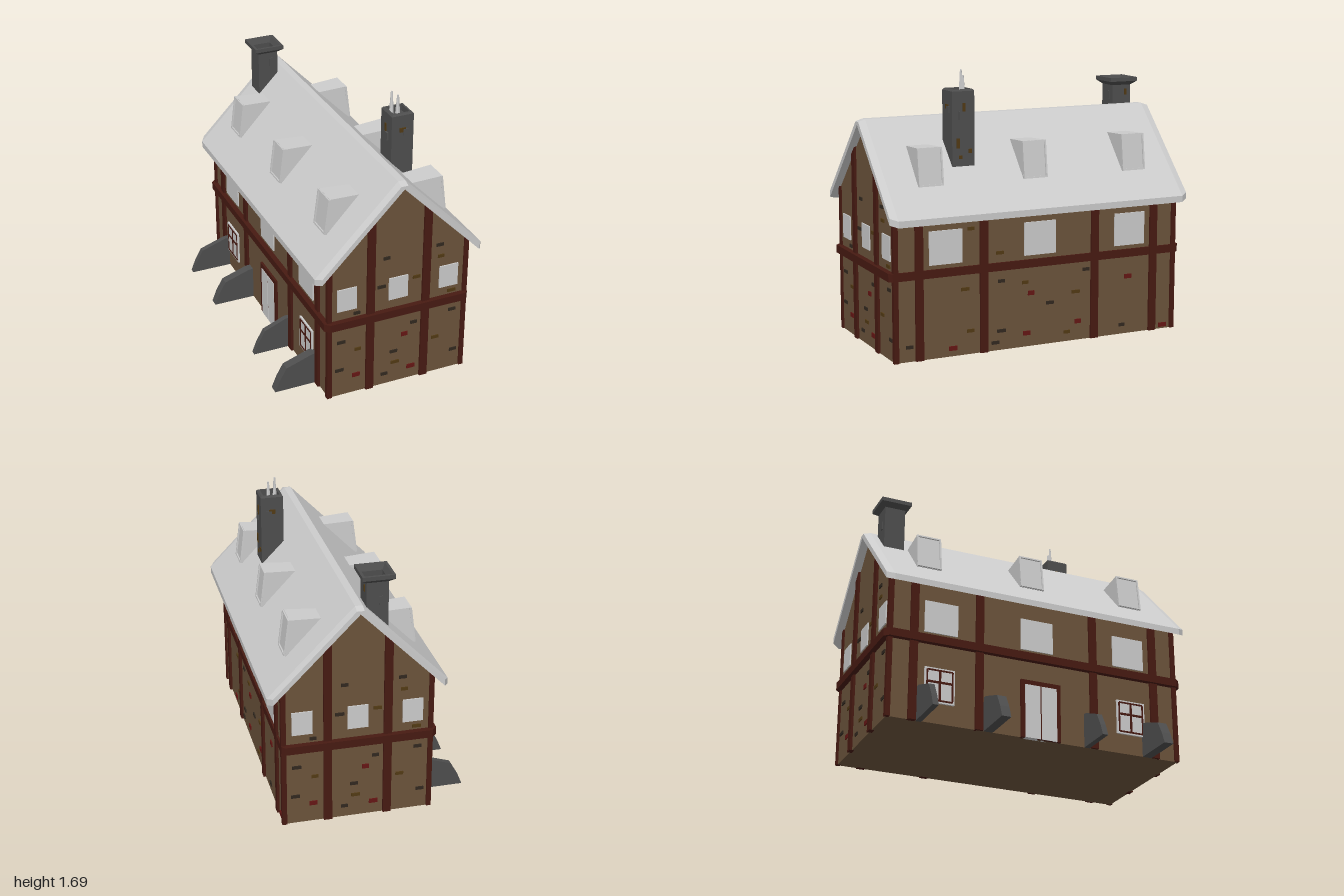
import * as THREE from 'three';
import { ConvexGeometry } from 'three/addons/geometries/ConvexGeometry.js';

const mat = (color) => new THREE.MeshStandardMaterial({ color, flatShading: true });
const GREY = mat(0xcccccc), WALL = mat(0x6b533b), BEAM = mat(0x471a12), STONE = mat(0x4e4e4e);
const BRICKS = { dark: mat(0x31281f), olive: mat(0x523a14), red: mat(0x651614) };

const W = 0.45, D = 0.95; // half width and half depth of the walls
const underRoof = (x) => 1.365 - 0.986 * Math.abs(x);

function add(parent, name, geometry, material, x = 0, y = 0, z = 0) {
  const mesh = new THREE.Mesh(geometry, material);
  mesh.name = name;
  mesh.position.set(x, y, z);
  parent.add(mesh);
  return mesh;
}
const box = (parent, name, material, w, h, d, x, y, z) =>
  add(parent, name, new THREE.BoxGeometry(w, h, d), material, x, y, z);

// Prism with an x-y outline, centred on z
function prism(points, depth) {
  const shape = new THREE.Shape(points.map(([x, y]) => new THREE.Vector2(x, y)));
  return new THREE.ExtrudeGeometry(shape, { depth, bevelEnabled: false }).translate(0, 0, -depth / 2);
}

// Square tube or cap from a half-width / height profile
function squareLathe(profile) {
  const pts = profile.map(([r, y]) => new THREE.Vector2(r * Math.SQRT2, y));
  return new THREE.LatheGeometry(pts, 4).rotateY(Math.PI / 4).toNonIndexed();
}

// Gable roof with bevelled ends, lofted through four sections
function roofGeometry() {
  const section = (z, inset, drop) => {
    const e = 0.5425 - inset;
    return [[-e, 0.83 + drop], [-e, 0.87 + drop], [-0.0225, 1.4 - drop], [0.0225, 1.4 - drop],
      [e, 0.87 + drop], [e, 0.83 + drop], [0, 1.365]].map(([x, y]) => [x, y, z]);
  };
  const rings = [section(-1, 0.03, 0.015), section(-0.955, 0, 0), section(0.955, 0, 0), section(1, 0.03, 0.015)];
  const n = 7, index = [];
  for (let k = 0; k < 3; k++) {
    for (let i = 0; i < n; i++) {
      const a = k * n + i, b = k * n + (i + 1) % n;
      index.push(a, b + n, b, a, a + n, b + n);
    }
  }
  for (let i = 0; i < 5; i++) {
    index.push(6, i, i + 1, 3 * n + 6, 3 * n + i + 1, 3 * n + i);
  }
  const g = new THREE.BufferGeometry();
  g.setAttribute('position', new THREE.Float32BufferAttribute(rings.flat(2), 3));
  g.setIndex(index);
  const flat = g.toNonIndexed();
  flat.computeVertexNormals();
  return flat;
}

// Dormer wedge with a raised rim around its leaning face
function addDormer(parent, z) {
  const dormer = new THREE.Group();
  dormer.name = 'dormer';
  dormer.position.z = z;
  parent.add(dormer);
  const pts = [];
  for (const s of [-1, 1]) {
    pts.push(new THREE.Vector3(0.391, 1.03, s * 0.08), new THREE.Vector3(0.362, 1.257, s * 0.077),
      new THREE.Vector3(0.14, 1.245, s * 0.067), new THREE.Vector3(0.3, 1.02, s * 0.067));
  }
  add(dormer, 'dormerBody', new ConvexGeometry(pts), GREY);
  const rim = new THREE.Group();
  rim.name = 'dormerRim';
  rim.position.set(0.3785, 1.144, 0);
  rim.rotation.z = 0.127;
  dormer.add(rim);
  for (const s of [-1, 1]) {
    box(rim, 'rimSide', GREY, 0.014, 0.226, 0.01, 0, 0, s * 0.074);
    box(rim, 'rimRail', GREY, 0.014, 0.01, 0.15, 0, s * 0.108, 0);
  }
}

const gableBricks = {
  dark: [[-0.08, 0.9], [0.27, 0.91], [-0.11, 0.71], [-0.27, 0.57], [0.37, 0.43], [-0.37, 0.385],
    [0.11, 0.405], [-0.02, 0.225], [-0.38, 0.185], [-0.08, 0.075], [0.39, 0.13]],
  olive: [[0.28, 0.83], [0.12, 0.725], [0.36, 0.57], [-0.26, 0.31], [0.26, 0.255], [-0.01, 0.145]],
  red: [[0.05, 0.335], [-0.27, 0.125], [0.1, 0.085]],
};
const sideBricks = {
  dark: [[0.26, 0.43], [-0.32, 0.445], [-0.07, 0.26], [0.86, 0.09], [0.3, 0.05], [0.26, 0.12], [-0.58, 0.06]],
  olive: [[0.46, 0.77], [0.27, 0.605], [0.5, 0.405], [0.1, 0.405], [0.465, 0.145], [-0.25, 0.31], [-0.19, 0.06]],
  red: [[0.06, 0.335], [-0.62, 0.37], [0.58, 0.05], [-0.265, 0.12], [0.09, 0.085], [-0.88, 0.025]],
};
function eachBrick(table, place) {
  for (const [kind, list] of Object.entries(table)) {
    list.forEach(([u, y], i) => place(BRICKS[kind], u, y, 0.042 + 0.006 * (i % 3), kind === 'red' ? 0.027 : 0.02));
  }
}

// One gable with the side wall to its left; two of these, turned, go round the house
function buildHalf(parent) {
  for (const x of [-0.1825, 0.1825]) {
    const [a, b] = [x - 0.025, x + 0.025];
    add(parent, 'gablePost', prism([[a, 0], [b, 0], [b, underRoof(b)], [a, underRoof(a)]], 0.03), BEAM, 0, 0, D);
  }
  for (const x of [-0.335, 0, 0.335]) box(parent, 'gableWindow', GREY, 0.125, 0.15, 0.016, x, 0.68, D);
  for (const s of [-1, 1]) box(parent, 'cornerPost', BEAM, 0.03, 0.92, 0.03, s * 0.4475, 0.46, 0.945);
  for (const z of [-0.797, -0.378, 0.378, 0.797]) box(parent, 'sidePost', BEAM, 0.03, 0.91, 0.05, W, 0.455, z);
  for (const z of [-0.625, 0, 0.625]) box(parent, 'sideWindow', GREY, 0.016, 0.205, 0.213, W, 0.673, z);
  for (const z of [-0.687, 0, 0.687]) addDormer(parent, z);
  eachBrick(gableBricks, (m, x, y, w, h) => box(parent, 'brick', m, w, h, 0.014, x, y, D));
}

export function createModel() {
  const model = new THREE.Group();
  model.name = 'house';
  const house = new THREE.Group();
  house.name = 'houseParts';
  house.position.x = 0.0875;
  model.add(house);

  // Walls and roof
  add(house, 'walls', prism([[-W, 0], [W, 0], [W, 0.915], [0, 1.36], [-W, 0.915]], 2 * D), WALL);
  add(house, 'roof', roofGeometry(), GREY);
  for (const turn of [0, Math.PI]) {
    const half = new THREE.Group();
    half.name = turn ? 'backHalf' : 'frontHalf';
    half.rotation.y = turn;
    house.add(half);
    buildHalf(half);
  }
  eachBrick(sideBricks, (m, z, y, w, h) => box(house, 'brick', m, 0.014, h, w, W, y, z));

  // Belt beam with clipped corners
  const belt = [[-0.4825, -0.955], [-0.4525, -0.985], [0.4425, -0.985], [0.4625, -0.965],
    [0.4625, 0.965], [0.4425, 0.985], [-0.4525, 0.985], [-0.4825, 0.955]];
  add(house, 'beltBeam', prism(belt, 0.05).rotateX(-Math.PI / 2), BEAM, 0, 0.52, 0);

  // Door and ground floor windows on the right-hand wall
  box(house, 'doorFrame', BEAM, 0.03, 0.37, 0.26, -W, 0.185, 0.02);
  for (const s of [-1, 1]) box(house, 'doorLeaf', GREY, 0.036, 0.34, 0.1, -W, 0.17, 0.02 + s * 0.054);
  for (const z of [-0.63, 0.63]) {
    box(house, 'lowerWindow', GREY, 0.024, 0.22, 0.19, -W, 0.235, z);
    box(house, 'windowMullion', BEAM, 0.03, 0.19, 0.014, -W, 0.235, z);
    box(house, 'windowBar', BEAM, 0.03, 0.014, 0.16, -W, 0.255, z);
    for (const s of [-1, 1]) {
      box(house, 'windowStile', BEAM, 0.03, 0.19, 0.01, -W, 0.235, z + s * 0.08);
      box(house, 'windowRail', BEAM, 0.03, 0.01, 0.16, -W, 0.235 + s * 0.095, z);
    }
  }

  // Sloping stone buttresses
  for (const [z, w, tip] of [[-0.75, 0.035, 0.7225], [-0.317, 0.058, 0.7225], [0.33, 0.035, 0.695], [0.74, 0.06, 0.7225]]) {
    add(house, 'buttress', prism([[-0.44, 0], [-0.44, 0.215], [-0.48, 0.212], [0.075 - tip, 0.155],
      [0.03 - tip, 0.075], [-tip, 0]], w), STONE, 0, 0, z);
  }

  // Back chimney with a flared, hollow cap
  add(house, 'backChimney', squareLathe([[0.066, 1.1], [0.066, 1.515], [0.0975, 1.54], [0.0975, 1.565],
    [0.082, 1.565], [0.062, 1.53], [0.062, 1.45], [0, 1.45]]), STONE, -0.12, 0, -0.85);
  for (const [y, z, x] of [[1.45, 0.066, 0.02], [1.4, -0.066, -0.02]]) {
    box(house, 'chimneyStone', STONE, 0.02, 0.055, 0.012, -0.12 + x, y, -0.85 + z);
  }
  box(house, 'chimneyStone', BRICKS.olive, 0.012, 0.04, 0.015, -0.054, 1.47, -0.88);

  // Side chimney with protruding stones and two flues
  const stack = new THREE.Group();
  stack.name = 'sideChimney';
  stack.position.set(0.225, 0, 0.4375);
  house.add(stack);
  add(stack, 'chimneyStack', squareLathe([[0.0725, 1.05], [0.0725, 1.57], [0.064, 1.58], [0.052, 1.58],
    [0.052, 1.54], [0, 1.54]]), STONE);
  for (const s of [-1, 1]) {
    box(stack, 'chimneyStone', STONE, 0.022, 0.05, 0.04, s * 0.072, 1.425, 0.01);
    box(stack, 'chimneyStone', STONE, 0.035, 0.04, 0.02, 0.02, 1.46, s * 0.07);
    box(stack, 'chimneyBrick', BRICKS.olive, 0.04, 0.028, 0.012, 0, 1.475, s * 0.0725);
    box(stack, 'chimneyBrick', BRICKS.olive, 0.012, 0.06, 0.017, s * 0.0725, 1.47, -0.005);
  }
  for (const [y, z, h] of [[1.26, 0.035, 0.06], [1.21, -0.045, 0.025], [1.175, 0.02, 0.02]]) {
    box(stack, 'chimneyBrick', BRICKS.olive, 0.012, h, 0.02, 0.0725, y, z);
  }
  for (const [x, z, top] of [[-0.027, -0.03, 1.69], [0.013, -0.025, 1.66]]) {
    const h = top - 1.54;
    add(stack, 'flue', new THREE.CylinderGeometry(0.006, 0.015, h, 6), GREY, x, 1.54 + h / 2, z);
  }
  return model;
}
